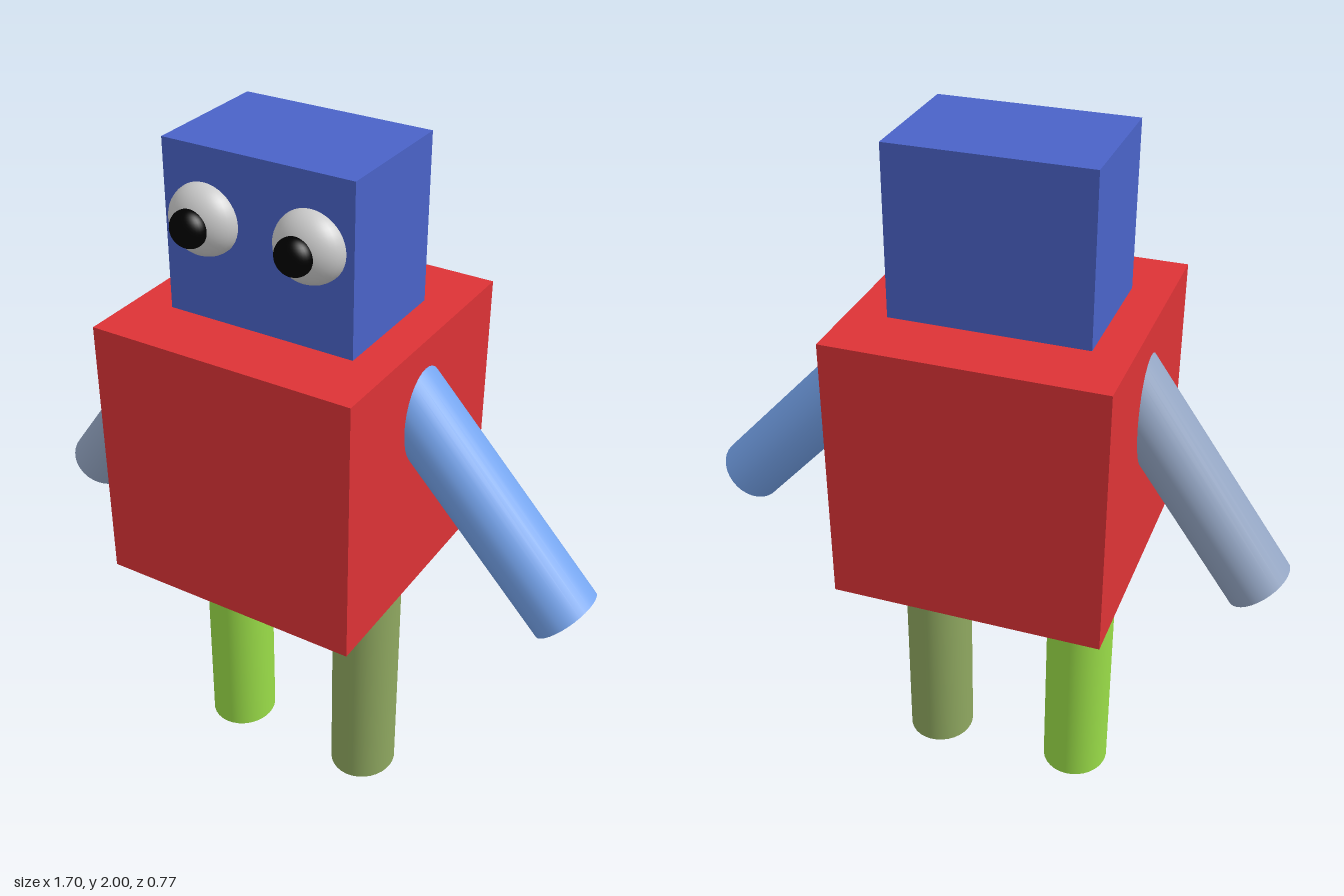
import * as THREE from 'three';

export function createModel() {
  const model = new THREE.Group();

  function add(name, geometry, color, x, y, z) {
    const mesh = new THREE.Mesh(geometry, new THREE.MeshStandardMaterial({ color }));
    mesh.name = name;
    mesh.position.set(x, y, z);
    model.add(mesh);
    return mesh;
  }

  // Torso and head
  add('torso', new THREE.BoxGeometry(0.76, 0.765, 0.768), 0xdd3336, -0.05, 1.153, 0);
  add('head', new THREE.BoxGeometry(0.546, 0.466, 0.378), 0x4a63c8, -0.05, 1.767, 0);

  // Legs and arms share one slightly oval limb
  const limb = new THREE.CylinderGeometry(1, 1, 0.77, 32);
  limb.scale(0.098, 1, 0.105);

  add('leftLeg', limb, 0x8fa860, 0.178, 0.385, 0);
  add('rightLeg', limb, 0x9add48, -0.272, 0.385, 0);

  // Each arm runs from its hand end up into the torso
  function addArm(name, color, handX, handY, angle) {
    const x = handX - Math.sin(angle) * 0.385;
    const y = handY + Math.cos(angle) * 0.385;
    const arm = add(name, limb, color, x, y, 0);
    arm.rotation.z = angle;
    arm.scale.x = 0.97;
  }
  addArm('leftArm', 0x76a5ee, 0.78, 0.836, 0.755);
  addArm('rightArm', 0x94a6c4, -0.775, 0.801, -0.62);

  // Bulging eyes with protruding pupils
  const ball = new THREE.SphereGeometry(1, 32, 20);
  for (const [side, x] of [['left', 0.103], ['right', -0.203]]) {
    add(side + 'Eye', ball, 0xcccccc, x, 1.812, 0.19).scale.set(0.098, 0.095, 0.075);
    add(side + 'Pupil', ball, 0x000000, x - (side === 'left' ? 0.004 : 0), 1.812, 0.26).scale.set(0.051, 0.05, 0.04);
  }

  return model;
}
